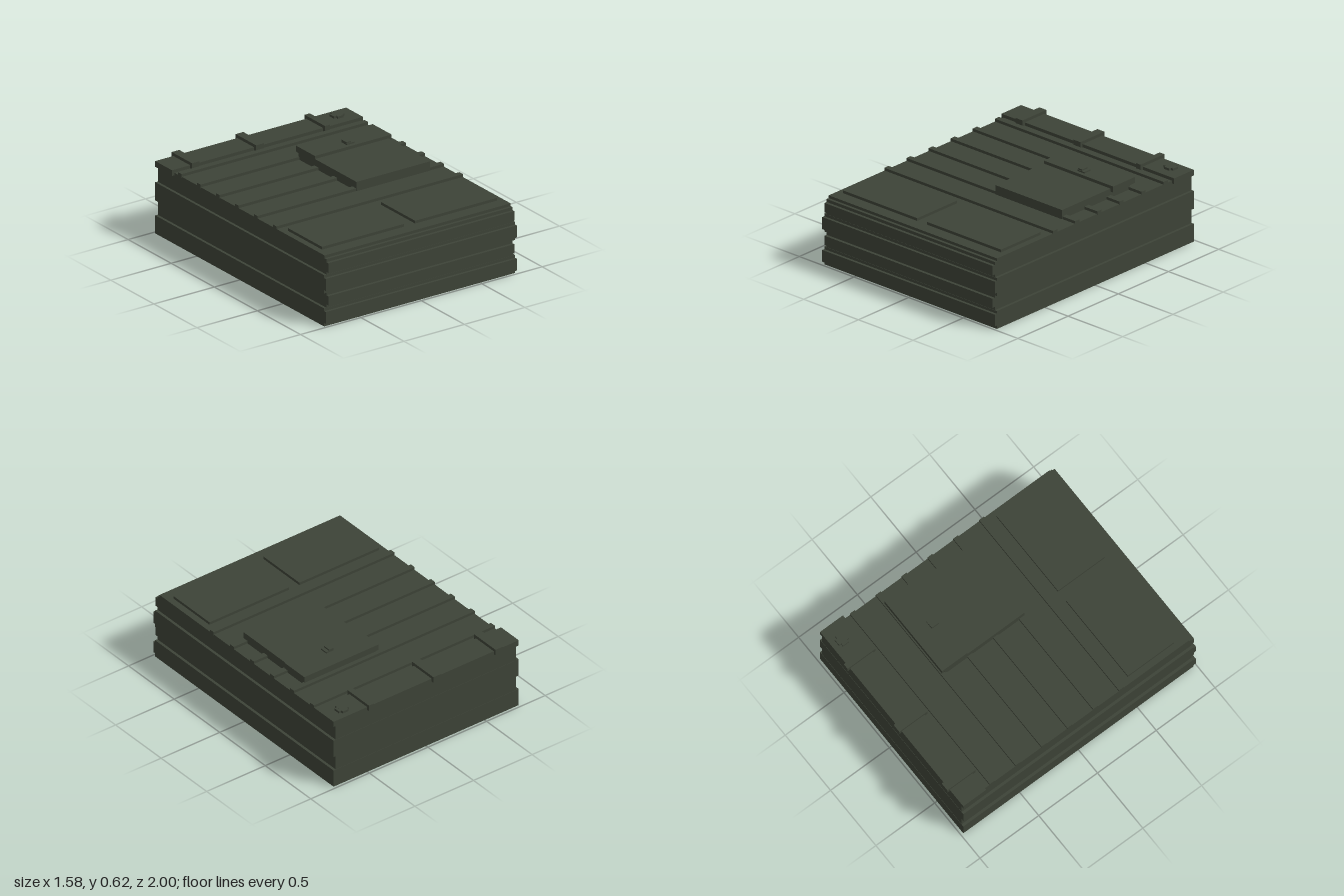
import * as THREE from 'three';

export function createModel() {
  const model = new THREE.Group();
  const olive = new THREE.MeshStandardMaterial({ color: 0x3d4337 });
  olive.name = 'dark olive';

  // Box given by its minimum and maximum on each axis
  function box(name, x0, x1, y0, y1, z0, z1) {
    const mesh = new THREE.Mesh(new THREE.BoxGeometry(x1 - x0, y1 - y0, z1 - z0), olive);
    mesh.position.set((x0 + x1) / 2, (y0 + y1) / 2, (z0 + z1) / 2);
    mesh.name = name;
    model.add(mesh);
    return mesh;
  }

  // Case: core, raised bands on the sides, and a stepped top edge
  box('caseCore', -0.77, 0.77, 0, 0.487, -0.978, 0.978);
  box('lowerBand', -0.79, 0.79, 0, 0.132, -0.98, 0.98);
  box('upperBand', -0.79, 0.79, 0.242, 0.375, -0.98, 0.98);
  box('topSlab', -0.77, 0.77, 0.487, 0.507, -0.97, 0.957);

  // Horizontal ribs across the front
  const frontRibs = [
    [0.025, 0.112, 0.79], [0.156, 0.223, 0.77],
    [0.266, 0.355, 0.79], [0.395, 0.465, 0.77],
  ];
  for (const [y0, y1, w] of frontRibs) box('frontRib', -w, w, y0, y1, 0.96, 1);

  // Cross ribs on the top
  for (let i = 0; i < 6; i++) {
    const z = 0.38 - i * 0.22;
    box('topRib', -0.772, 0.772, 0.5, 0.527, z - 0.021, z + 0.021);
  }

  // Two flat panels near the front
  box('rightPanel', -0.725, -0.045, 0.5, 0.527, 0.47, 0.865);
  box('leftPanel', 0.045, 0.722, 0.5, 0.527, 0.47, 0.865);

  // Raised housing with an overhanging lid and its small latch
  box('housing', 0.045, 0.655, 0.5, 0.575, -0.3, 0.185);
  box('lidBase', 0.045, 0.655, 0.5, 0.56, -0.49, -0.29);
  box('lid', 0.045, 0.68, 0.553, 0.597, -0.517, -0.298);
  box('latch', 0.328, 0.39, 0.59, 0.607, -0.385, -0.325);
  box('latchTop', 0.328, 0.365, 0.6, 0.617, -0.385, -0.33);

  // Rear strip with straps folded over the back edge
  box('rearStrip', -0.79, 0.79, 0.488, 0.53, -0.98, -0.785);
  for (const [x0, x1] of [[-0.64, -0.577], [-0.11, -0.047], [0.46, 0.503]]) {
    box('strap', x0, x1, 0.507, 0.552, -1, -0.762);
  }

  // Stepped cross-shaped cap on the rear strip
  box('capAcross', 0.612, 0.7, 0.525, 0.546, -0.922, -0.873);
  box('capAlong', 0.632, 0.68, 0.525, 0.5465, -0.94, -0.855);

  return model;
}
